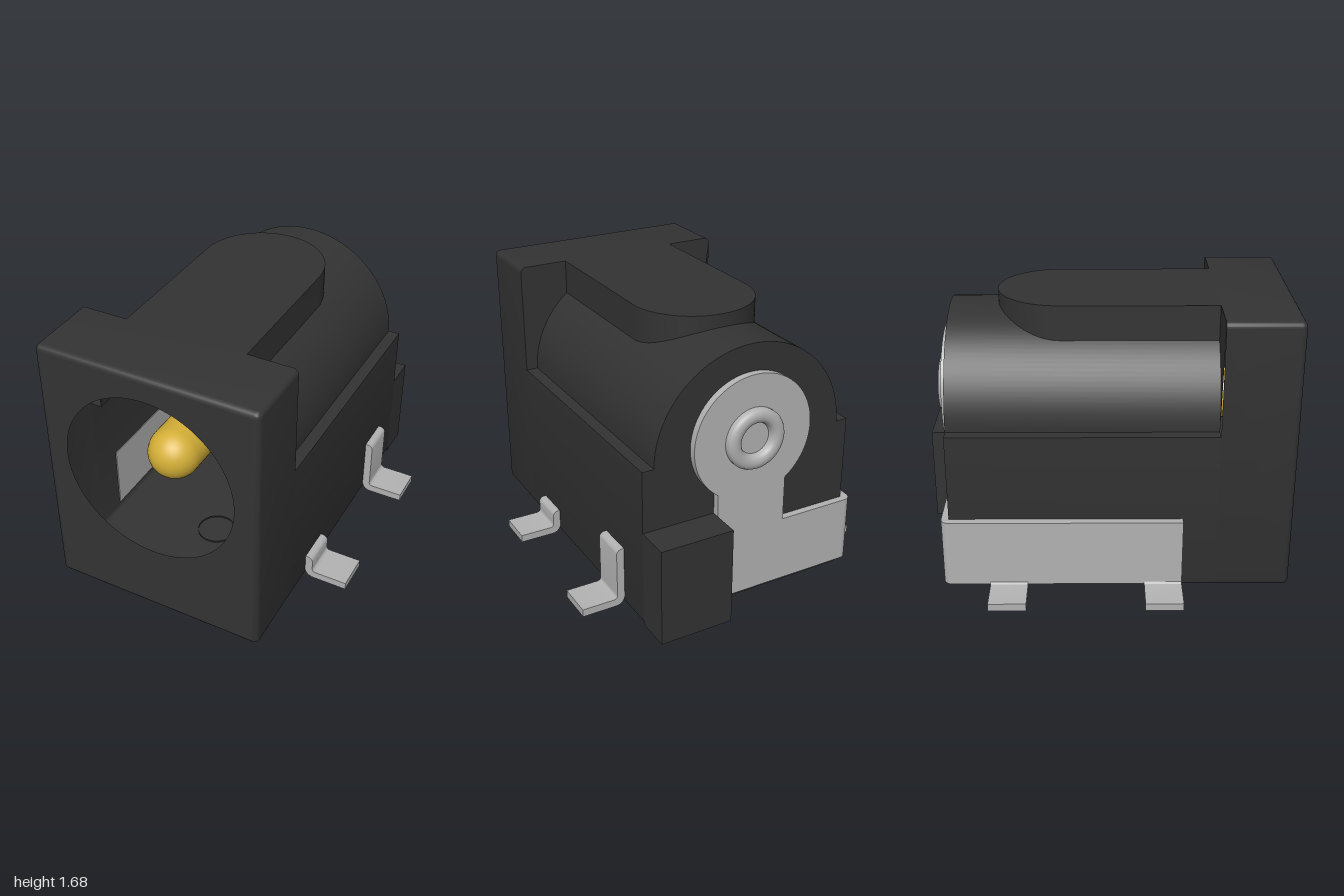
import * as THREE from 'three';
import { toCreasedNormals } from 'three/addons/utils/BufferGeometryUtils.js';

const W = 0.605, BOTTOM = 0.19, TOP = 1.68, BACK = -0.81, STEP = 0.6, AXIS = 1.07, R = 0.54, F = 0.03;

// Skin between outlines of equal point count, ordered back to front
function loft(rings) {
  const pos = [], index = [], n = rings[0].points.length;
  rings.forEach(r => r.points.forEach(p => pos.push(p.x, p.y, r.z)));
  for (let i = 0; i < rings.length - 1; i++) {
    for (let j = 0; j < n; j++) {
      const k = (j + 1) % n, a = i * n + j, b = i * n + k;
      index.push(a, b, b + n, a, b + n, a + n);
    }
  }
  const g = new THREE.BufferGeometry();
  g.setAttribute('position', new THREE.Float32BufferAttribute(pos, 3));
  g.setIndex(index);
  return toCreasedNormals(g, 0.6);
}

// Front outline, shrunk by an inset
function frontOutline(inset) {
  const s = new THREE.Shape(), r = Math.max(F - inset, 0.002);
  const x = W - inset - r, y0 = BOTTOM + inset + r, y1 = TOP - inset - r;
  s.absarc(x, y0, r, -Math.PI / 2, 0);
  s.absarc(x, y1, r, 0, Math.PI / 2);
  s.absarc(-x, y1, r, Math.PI / 2, Math.PI);
  s.absarc(-x, y0, r, Math.PI, Math.PI * 1.5);
  return s;
}

// Cross-section of the barrel: box below, half round above
function barrelOutline() {
  const s = new THREE.Shape();
  s.absarc(W - F, BOTTOM + F, F, -Math.PI / 2, 0);
  s.lineTo(W, AXIS);
  s.absarc(0, AXIS, R, 0, Math.PI);
  s.lineTo(-W, AXIS);
  s.absarc(-W + F, BOTTOM + F, F, Math.PI, Math.PI * 1.5);
  return s;
}

export function createModel() {
  const model = new THREE.Group();
  model.name = 'powerSocket';
  const plastic = new THREE.MeshStandardMaterial({ color: 0x333333, side: THREE.DoubleSide });
  plastic.name = 'blackPlastic';
  const metal = new THREE.MeshStandardMaterial({ color: 0xb2b2b2 });
  metal.name = 'silverMetal';
  const gold = new THREE.MeshStandardMaterial({ color: 0xd4af37 });
  gold.name = 'goldPin';

  const add = (name, geometry, material, x = 0, y = 0, z = 0) => {
    const m = new THREE.Mesh(geometry, material);
    m.name = name;
    m.position.set(x, y, z);
    model.add(m);
    return m;
  };
  const box = (name, x0, x1, y0, y1, z0, z1, material) =>
    add(name, new THREE.BoxGeometry(x1 - x0, y1 - y0, z1 - z0), material,
      (x0 + x1) / 2, (y0 + y1) / 2, (z0 + z1) / 2);

  // Hollow front housing with rounded front edges
  const rings = [{ z: STEP, points: frontOutline(0).getPoints(6) }];
  for (let i = 0; i <= 4; i++) {
    const a = i / 4 * Math.PI / 2;
    rings.push({ z: 1 - F + F * Math.sin(a), points: frontOutline(F * (1 - Math.cos(a))).getPoints(6) });
  }
  add('frontHousing', loft(rings), plastic);

  // Front face with the plug opening
  const face = frontOutline(F);
  const opening = new THREE.Path();
  opening.absarc(0, AXIS, 0.475, 0, Math.PI * 2, true);
  face.holes.push(opening);
  add('frontFace', new THREE.ShapeGeometry(face, 48), plastic, 0, 0, 1);

  // Shoulder behind the front housing, facing back
  const shoulder = new THREE.Shape();
  shoulder.moveTo(W, AXIS);
  shoulder.absarc(W - F, TOP - F, F, 0, Math.PI / 2);
  shoulder.absarc(-W + F, TOP - F, F, Math.PI / 2, Math.PI);
  shoulder.lineTo(-W, AXIS);
  shoulder.absarc(0, AXIS, R, Math.PI, 0, true);
  const shoulderGeometry = new THREE.ShapeGeometry(shoulder, 32).rotateY(Math.PI);
  add('shoulder', shoulderGeometry, plastic, 0, 0, STEP);

  // Hollow barrel and its back wall
  const section = barrelOutline().getPoints(32);
  add('barrel', loft([{ z: BACK, points: section }, { z: STEP, points: section }]), plastic);
  add('backWall', new THREE.ShapeGeometry(barrelOutline(), 32).rotateY(Math.PI), plastic, 0, 0, BACK);
  box('rearBlock', 0.2, W, BOTTOM, 0.73, -1, BACK, plastic);

  // Raised round-ended ridge on top
  const ridge = new THREE.Shape();
  ridge.moveTo(-0.335, -STEP);
  ridge.lineTo(0.335, -STEP);
  ridge.absarc(0, 0.22, 0.335, 0, Math.PI);
  const ridgeGeometry = new THREE.ExtrudeGeometry(ridge, { depth: 0.19, bevelEnabled: false, curveSegments: 32 });
  add('topRidge', toCreasedNormals(ridgeGeometry.rotateX(-Math.PI / 2), 0.6), plastic, 0, 1.49, 0);

  // Locating pegs with rounded tips
  const pegProfile = [new THREE.Vector2(0, 0)];
  for (let i = 0; i <= 8; i++) {
    const a = i / 8 * Math.PI / 2;
    pegProfile.push(new THREE.Vector2(0.017 + 0.09 * Math.sin(a), 0.09 - 0.09 * Math.cos(a)));
  }
  pegProfile.push(new THREE.Vector2(0.107, 0.2));
  for (const z of [0.33, -0.28]) add('locatingPeg', new THREE.LatheGeometry(pegProfile, 32), plastic, 0, 0, z);

  // Centre pin with a domed tip
  add('centrePin', new THREE.CylinderGeometry(0.14, 0.14, 1.54, 32, 1, true).rotateX(Math.PI / 2), gold, 0, AXIS, -0.03);
  add('centrePinTip', new THREE.SphereGeometry(0.14, 32, 16), gold, 0, AXIS, 0.74);

  // Back contact plate: disc, neck and arm
  const plate = new THREE.Shape();
  const join = Math.asin(0.2 / 0.34);
  plate.moveTo(-W, 0.23);
  plate.lineTo(0.2, 0.23);
  plate.absarc(0, 1.125, 0.34, -Math.PI / 2 + join, Math.PI * 1.5 - join);
  plate.lineTo(-0.2, 0.6);
  plate.lineTo(-W, 0.6);
  const plateGeometry = new THREE.ExtrudeGeometry(plate, { depth: 0.045, bevelEnabled: false, curveSegments: 48 });
  add('contactPlate', toCreasedNormals(plateGeometry, 0.6), metal, 0, 0, -0.85);

  // Plate wraps round the corner into the side strip
  add('plateCorner', new THREE.CylinderGeometry(0.045, 0.045, 0.37, 8, 1, false, Math.PI, Math.PI / 2),
    metal, -W, 0.415, -0.805);
  box('sideStrip', -0.65, -0.6, 0.23, 0.6, -0.805, 0.42, metal);

  // Rivet holding the pin
  const rivet = [[0.165, 0], [0.165, 0.022], [0.158, 0.034], [0.145, 0.042], [0.127, 0.045],
    [0.109, 0.042], [0.096, 0.034], [0.088, 0.02], [0.085, 0.003], [0, 0.003]]
    .map(p => new THREE.Vector2(...p));
  add('rivet', toCreasedNormals(new THREE.LatheGeometry(rivet, 40).rotateX(-Math.PI / 2), 0.8), metal, 0, 1.125, -0.85);

  // Bent solder feet: upright tab curving outward along the board
  const foot = (name, side, top, z) => {
    const t = 0.042, x = W, s = new THREE.Shape();
    s.moveTo(x, BOTTOM + 0.05);
    s.absarc(x + 0.05, BOTTOM + 0.05, 0.05, Math.PI, Math.PI * 1.5);
    s.lineTo(0.847, BOTTOM);
    s.lineTo(0.847, BOTTOM + t);
    s.lineTo(x + t + 0.02, BOTTOM + t);
    s.absarc(x + t + 0.02, BOTTOM + t + 0.02, 0.02, Math.PI * 1.5, Math.PI, true);
    s.absarc(x + t - 0.03, top - 0.03, 0.03, 0, Math.PI / 2);
    s.lineTo(x, top);
    const g = new THREE.ExtrudeGeometry(s, { depth: 0.2, bevelEnabled: false, curveSegments: 6 });
    if (side < 0) g.rotateY(Math.PI).translate(0, 0, 0.2);
    add(name, toCreasedNormals(g, 0.6), metal, 0, 0, z);
  };
  foot('leftFrontFoot', 1, 0.33, 0.22);
  foot('leftRearFoot', 1, 0.53, -0.6);
  foot('rightFrontFoot', -1, 0.5, 0.22);
  foot('rightRearFoot', -1, 0.5, -0.6);

  return model;
}
